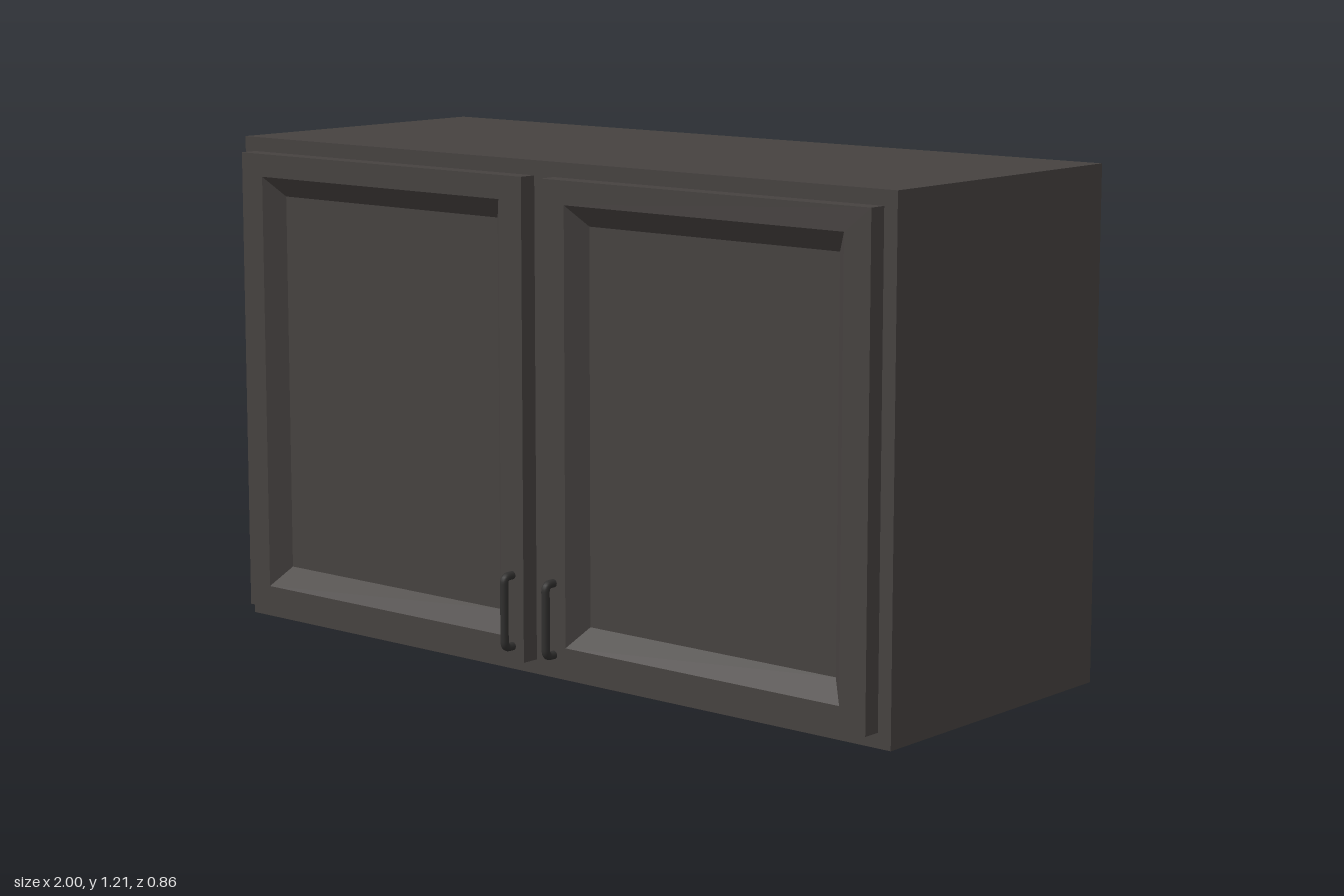
import * as THREE from 'three';

const BODY_FRONT = 0.35, BODY_BACK = -0.43, HEIGHT = 1.21;

// Door with a sloped recess, built from nested rectangles [halfWidth, halfHeight, z]
function doorGeometry() {
  const rings = [
    [0.4675, 0.57, 0],
    [0.4675, 0.57, 0.045],
    [0.3965, 0.514, 0.045],
    [0.3555, 0.465, 0.004],
  ].map(([w, h, z]) => [[-w, -h, z], [w, -h, z], [w, h, z], [-w, h, z]]);
  const positions = [];
  const quad = (a, b, c, d) => positions.push(...a, ...b, ...c, ...a, ...c, ...d);
  for (let i = 0; i < rings.length - 1; i++) {
    for (let k = 0; k < 4; k++) {
      const n = (k + 1) % 4;
      quad(rings[i][k], rings[i][n], rings[i + 1][n], rings[i + 1][k]);
    }
  }
  quad(...rings[rings.length - 1]); // recessed panel
  quad(...[...rings[0]].reverse()); // back of the door
  const geometry = new THREE.BufferGeometry();
  geometry.setAttribute('position', new THREE.Float32BufferAttribute(positions, 3));
  geometry.computeVertexNormals();
  return geometry;
}

// Bow handle: round bar with two rounded corners
function handleGeometry() {
  const v = (y, z) => new THREE.Vector3(0, y, z);
  const low = 0.07, high = 0.24, out = 0.423, root = 0.385, r = 0.016;
  const path = new THREE.CurvePath();
  path.add(new THREE.LineCurve3(v(low, root), v(low, out - r)));
  path.add(new THREE.QuadraticBezierCurve3(v(low, out - r), v(low, out), v(low + r, out)));
  path.add(new THREE.LineCurve3(v(low + r, out), v(high - r, out)));
  path.add(new THREE.QuadraticBezierCurve3(v(high - r, out), v(high, out), v(high, out - r)));
  path.add(new THREE.LineCurve3(v(high, out - r), v(high, root)));
  return new THREE.TubeGeometry(path, 64, 0.01, 12, false);
}

export function createModel() {
  const cabinetPaint = new THREE.MeshStandardMaterial({ color: 0x464240 });
  cabinetPaint.name = 'cabinetPaint';
  const handleMetal = new THREE.MeshStandardMaterial({ color: 0x302f2e });
  handleMetal.name = 'handleMetal';

  const group = new THREE.Group();
  group.name = 'wallCabinet';
  const add = (name, geometry, material, x, y, z) => {
    const mesh = new THREE.Mesh(geometry, material);
    mesh.name = name;
    mesh.position.set(x, y, z);
    group.add(mesh);
  };

  // Carcass
  add('carcass', new THREE.BoxGeometry(2, HEIGHT, BODY_FRONT - BODY_BACK), cabinetPaint,
    0, HEIGHT / 2, (BODY_FRONT + BODY_BACK) / 2);

  // Pair of doors with handles at their lower inner corners
  const door = doorGeometry();
  const handle = handleGeometry();
  for (const [side, s] of [['left', 1], ['right', -1]]) {
    add(side + 'Door', door, cabinetPaint, s * 0.4975, HEIGHT / 2, BODY_FRONT);
    add(side + 'Handle', handle, handleMetal, s * 0.065, 0, 0);
  }
  return group;
}
